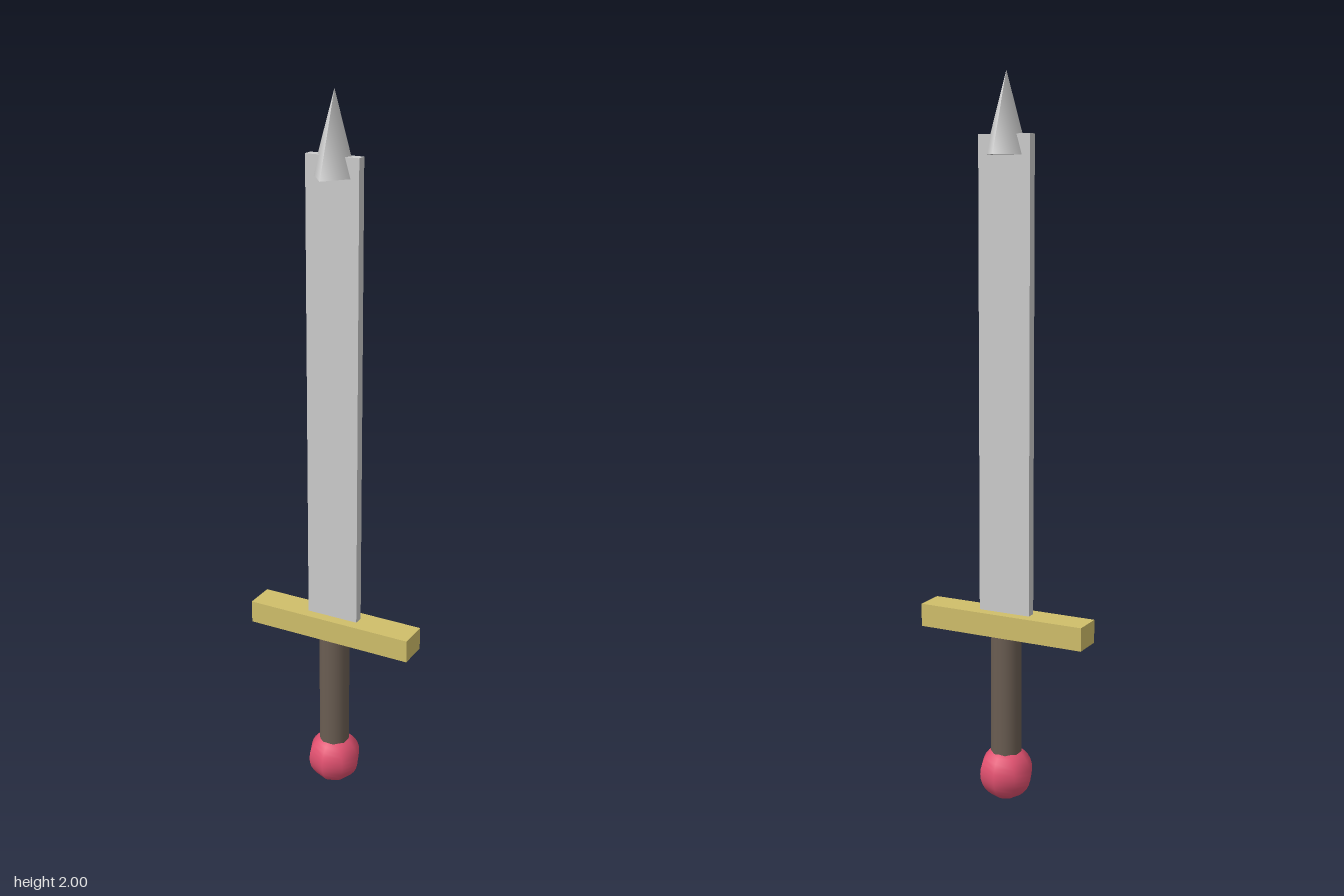
import * as THREE from 'three';

export function createModel() {
  const sword = new THREE.Group();
  sword.name = 'sword';

  const steel = new THREE.MeshStandardMaterial({ color: 0xcccccc });
  const gold = new THREE.MeshStandardMaterial({ color: 0xcfbe6a });
  const leather = new THREE.MeshStandardMaterial({ color: 0x6a5d52 });
  const ruby = new THREE.MeshStandardMaterial({ color: 0xe0506f });

  const add = (name, geometry, material, y) => {
    const mesh = new THREE.Mesh(geometry, material);
    mesh.name = name;
    mesh.position.y = y;
    sword.add(mesh);
    return mesh;
  };

  // Eight-sided ball at the foot of the grip
  add('pommel', new THREE.SphereGeometry(0.077, 8, 16), ruby, 0.077);

  // Round grip, sunk a little into the pommel
  add('grip', new THREE.CylinderGeometry(0.043, 0.043, 0.38, 16), leather, 0.29);

  // Crossguard bar
  add('crossguard', new THREE.BoxGeometry(0.495, 0.065, 0.087), gold, 0.512);

  // Flat blade
  add('blade', new THREE.BoxGeometry(0.153, 1.295, 0.027), steel, 1.19);

  // Four-sided point, narrower across the blade than through it
  const tip = add('bladeTip', new THREE.ConeGeometry(0.077, 0.216, 4), steel, 1.892);
  tip.scale.x = 0.82;

  return sword;
}
